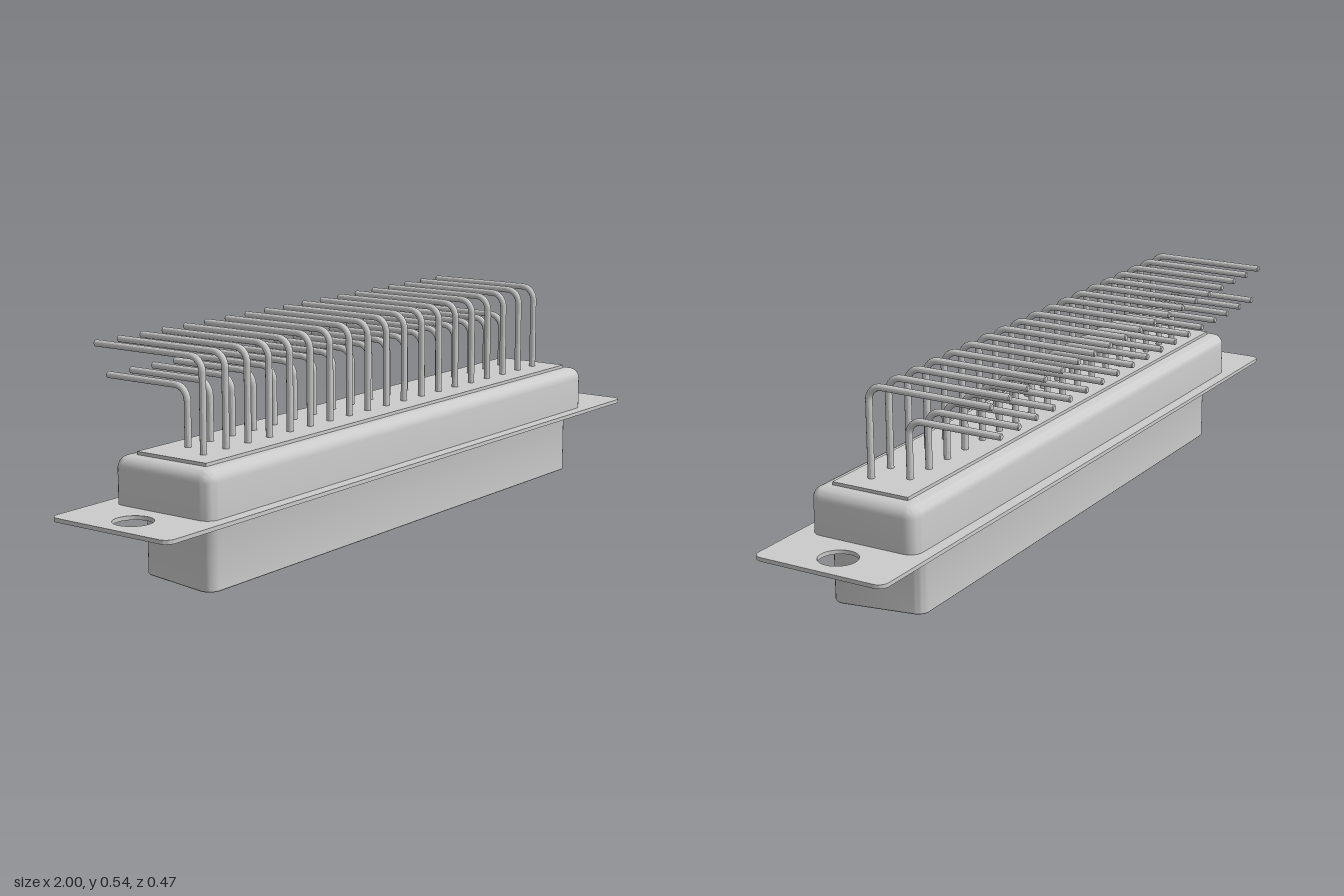
import * as THREE from 'three';
import { mergeGeometries, toCreasedNormals } from 'three/addons/utils/BufferGeometryUtils.js';

const MID_Z = 0.057;
const material = new THREE.MeshStandardMaterial({ color: 0xcccccc });

// Rounded four-sided outline: arc centres and outward normals, so it can be offset.
function outline(frontHalf, backHalf, zBack, zFront, r, steps = 6) {
  const c = [[-frontHalf, zFront], [frontHalf, zFront], [backHalf, zBack], [-backHalf, zBack]]
    .map(([x, z]) => new THREE.Vector2(x, z));
  const normals = c.map((p, i) => {
    const d = c[(i + 1) % 4].clone().sub(p).normalize();
    return new THREE.Vector2(-d.y, d.x);
  });
  const points = [];
  c.forEach((p, i) => {
    const a = normals[(i + 3) % 4], b = normals[i];
    const centre = p.clone().addScaledVector(a.clone().add(b), -r / (1 + a.dot(b)));
    const start = Math.atan2(a.y, a.x), sweep = -Math.acos(a.dot(b));
    for (let k = 0; k <= steps; k++) {
      const t = start + (sweep * k) / steps;
      points.push({ centre, r, n: new THREE.Vector2(Math.cos(t), Math.sin(t)) });
    }
  });
  return points;
}

// Skins an outline along [offset, y] steps; upward steps face outward.
function loft(points, profile, capStart, capEnd) {
  const pos = [], index = [], n = points.length;
  for (const [offset, y] of profile) {
    for (const p of points) {
      pos.push(p.centre.x + p.n.x * (p.r + offset), y, p.centre.y + p.n.y * (p.r + offset));
    }
  }
  for (let k = 0; k < profile.length - 1; k++) {
    for (let j = 0; j < n; j++) {
      const a = k * n + j, b = k * n + ((j + 1) % n);
      index.push(a, b, a + n, b, b + n, a + n);
    }
  }
  const last = (profile.length - 1) * n;
  for (let j = 1; j < n - 1; j++) {
    if (capStart) index.push(0, j + 1, j);
    if (capEnd) index.push(last, last + j, last + j + 1);
  }
  const g = new THREE.BufferGeometry();
  g.setAttribute('position', new THREE.Float32BufferAttribute(pos, 3));
  g.setIndex(index);
  return toCreasedNormals(g.toNonIndexed(), 0.6);
}

// Quarter-round steps between two profile points
function quarter(fn, steps = 6) {
  return Array.from({ length: steps + 1 }, (_, i) => fn((i / steps) * Math.PI / 2));
}

// Round rod along +y from 0 to length, chamfered at the far end
function rod(radius, length, chamfer) {
  const profile = [[0, 0], [radius, 0], [radius, length - chamfer], [radius - chamfer, length], [0, length]]
    .map(([x, y]) => new THREE.Vector2(x, y));
  return toCreasedNormals(new THREE.LatheGeometry(profile, 12).toNonIndexed(), 0.6);
}

// Right-angle pin: contact below, upright, bend, horizontal tail
function pinGeometry(z, top) {
  const r = 0.0085, bend = 0.036, base = 0.14, tailEnd = -0.235, axis = top - r;
  const upright = rod(r, axis - bend - base, 0).translate(0, base, z);
  const elbow = new THREE.TorusGeometry(bend, r, 12, 10, Math.PI / 2)
    .rotateY(-Math.PI / 2).translate(0, axis - bend, z - bend).toNonIndexed();
  const tail = rod(r, z - bend - tailEnd, 0.002).rotateX(-Math.PI / 2).translate(0, axis, z - bend);
  const contact = rod(0.0115, 0.15, 0.005).rotateX(Math.PI).translate(0, 0.162, z);
  return mergeGeometries([upright, elbow, tail, contact]);
}

export function createModel() {
  const model = new THREE.Group();
  const add = (name, geometry, parent = model) => {
    const mesh = new THREE.Mesh(geometry, material);
    mesh.name = name;
    parent.add(mesh);
    return mesh;
  };

  // Mounting flange with two screw holes
  const plate = new THREE.Shape();
  const w = 1, h = 0.179, c = 0.025;
  plate.moveTo(-w + c, -h);
  plate.absarc(w - c, -h + c, c, -Math.PI / 2, 0);
  plate.absarc(w - c, h - c, c, 0, Math.PI / 2);
  plate.absarc(-w + c, h - c, c, Math.PI / 2, Math.PI);
  plate.absarc(-w + c, -h + c, c, Math.PI, Math.PI * 1.5);
  for (const side of [-1, 1]) {
    plate.holes.push(new THREE.Path().absarc(side * 0.915, 0, 0.048, 0, Math.PI * 2, true));
  }
  const flange = new THREE.ExtrudeGeometry(plate, { depth: 0.01, bevelEnabled: false, curveSegments: 16 });
  add('flange', toCreasedNormals(flange.rotateX(-Math.PI / 2).translate(0, 0.17, MID_Z), 0.6));

  // Rear housing with rounded top edge
  const round = 0.03;
  add('housing', loft(outline(0.825, 0.825, -0.091, 0.205, 0.032), [
    [0, 0.178],
    ...quarter((t) => [-round * (1 - Math.cos(t)), 0.295 - round * (1 - Math.sin(t))]),
  ], true, true));

  // Raised insulator on top of the housing
  add('topInsulator', new THREE.BoxGeometry(1.57, 0.02, 0.21).translate(0, 0.293, MID_Z));

  // Hollow tapered shell, flared into the flange
  const dShape = outline(0.795, 0.753, -0.062, 0.177, 0.03);
  const flare = 0.016, wall = 0.01;
  add('shell', loft(dShape, [
    [-wall, 0.172], [-wall, 0.002], [-wall + 0.002, 0], [-0.002, 0], [0, 0.002],
    ...quarter((t) => [flare * (1 - Math.cos(t)), 0.171 - flare * (1 - Math.sin(t))]),
  ], false, false));

  // Insulator floor inside the shell
  add('shellInsulator', loft(dShape, [[-wall + 0.001, 0.155], [-wall + 0.001, 0.175]], true, true));

  // Two staggered rows of pins
  const rows = [
    { name: 'tallPin', count: 19, z: 0.098, top: 0.538 },
    { name: 'shortPin', count: 18, z: 0.016, top: 0.456 },
  ];
  for (const { name, count, z, top } of rows) {
    const row = new THREE.Group();
    row.name = name + 'Row';
    const geometry = pinGeometry(z, top);
    for (let i = 0; i < count; i++) {
      add(name, geometry, row).position.x = (i - (count - 1) / 2) * 0.0799;
    }
    model.add(row);
  }
  return model;
}
